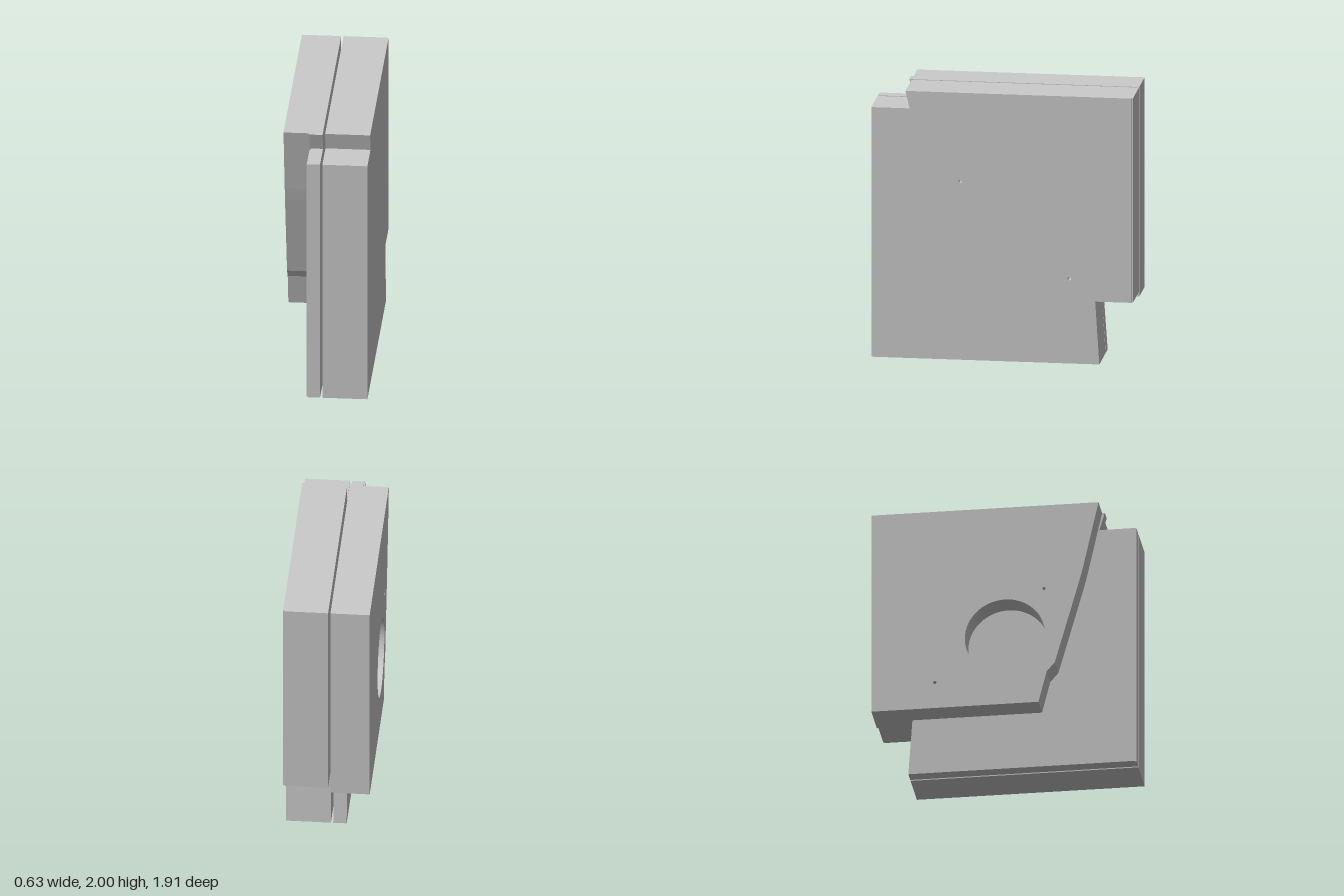
import * as THREE from 'three';

const material = new THREE.MeshStandardMaterial({ color: 0xcccccc });

// Pin holes as [z, y], shared by every plate
const PINS = [[0.31, 1.335], [-0.49, 0.635]];

// Plate with a (z, y) outline, spanning xMin..xMax, with round through holes [z, y, radius]
function plate(name, outline, xMin, xMax, holes = []) {
  const shape = new THREE.Shape(outline.map(([z, y]) => new THREE.Vector2(z, y)));
  for (const [z, y, r] of [...PINS.map(([z, y]) => [z, y, 0.012]), ...holes]) {
    const hole = new THREE.Path();
    hole.absarc(z, y, r, 0, Math.PI * 2, true);
    shape.holes.push(hole);
  }
  const geometry = new THREE.ExtrudeGeometry(shape, {
    depth: xMax - xMin, bevelEnabled: false, curveSegments: 32,
  });
  geometry.rotateY(-Math.PI / 2);
  geometry.translate(xMax, 0, 0);
  const mesh = new THREE.Mesh(geometry, material);
  mesh.name = name;
  return mesh;
}

// Block outline with an undercut notch at the top front and another at the bottom back
function notchedOutline(notchFoot, notchTop, shelf) {
  return [
    [-0.71, 0], [0.96, 0], [0.96, 1.87], [notchFoot, 1.87], [notchTop, 2],
    [-0.955, 2], [-0.955, shelf], [-0.68, shelf],
  ];
}

export function createModel() {
  const group = new THREE.Group();
  group.name = 'splitBlock';

  // Thick half, with a narrow chamfer along its outer back edge
  const block = notchedOutline(0.68, 0.71, 0.47);
  const blockEdge = block.map(([z, y]) => [z < -0.9 ? -0.947 : z, y]);
  group.add(plate('leftBlock', block, -0.015, 0.303));
  group.add(plate('leftBlockEdge', blockEdge, 0.303, 0.313));

  // Other half: inner plate with a slightly stepped outer edge
  const inner = notchedOutline(0.69, 0.73, 0.43);
  const innerEdge = inner.map(([z, y]) => [z > 0.9 ? 0.95 : z, y > 1.8 && y < 1.9 ? 1.862 : y]);
  group.add(plate('innerPlate', inner, -0.118, -0.032));
  group.add(plate('innerPlateEdge', innerEdge, -0.13, -0.118));

  // Outer cover with a slanting front edge and a large round window
  const cover = [
    [-0.955, 0.43], [0.27, 0.43], [0.33, 0.67], [0.39, 0.74],
    [0.575, 1.4], [0.6, 1.5], [0.71, 2], [-0.955, 2],
  ];
  group.add(plate('outerCover', cover, -0.318, -0.13, [[0.025, 0.97, 0.295]]));

  // Thin core filling part of the slot between the halves
  const core = new THREE.Mesh(new THREE.CylinderGeometry(1, 1, 0.017, 64), material);
  core.name = 'slotCore';
  core.rotation.z = Math.PI / 2;
  core.scale.set(0.6, 1, 0.65);
  core.position.set(-0.0235, 1.05, -0.02);
  group.add(core);

  return group;
}
